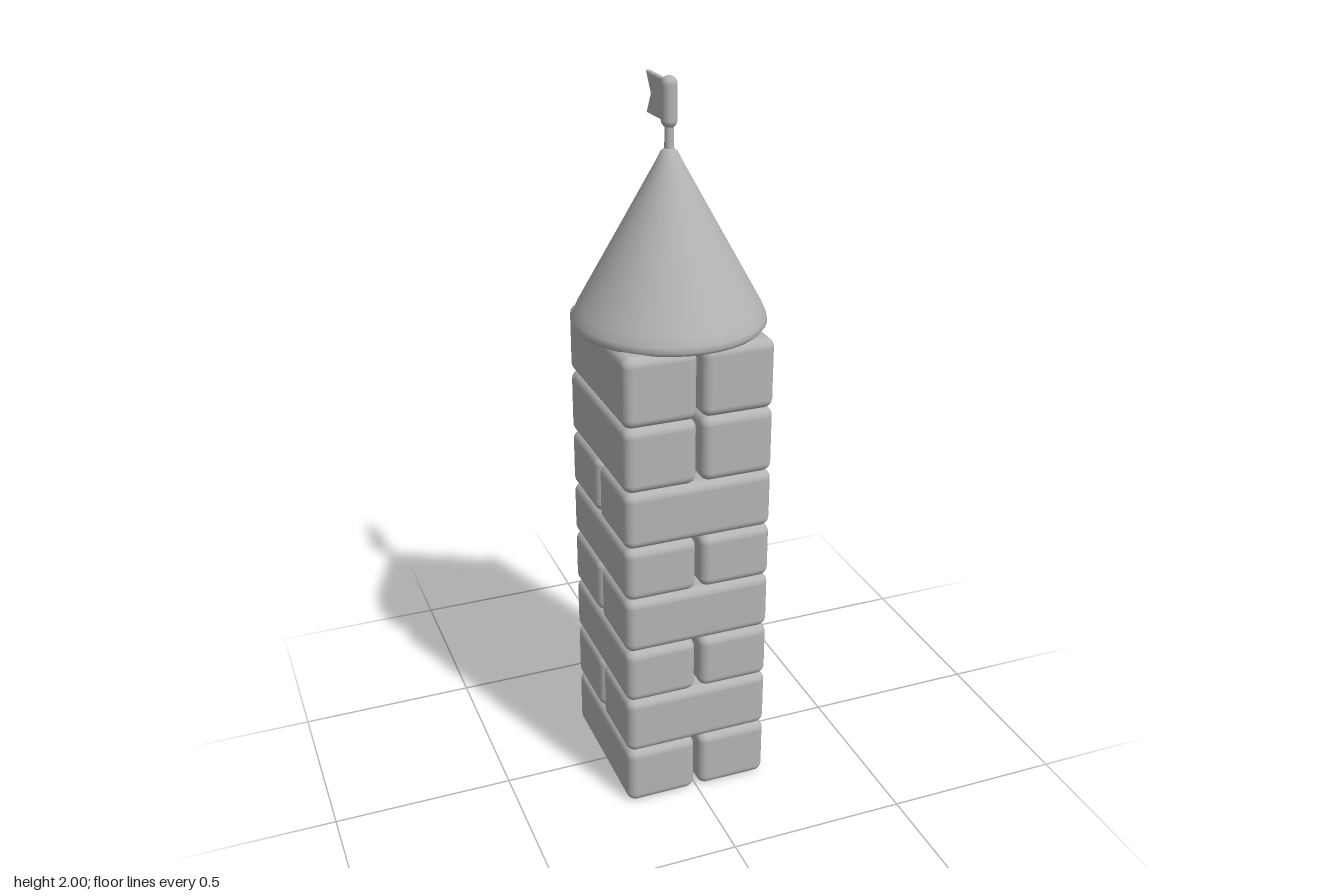
import * as THREE from 'three';
import { RoundedBoxGeometry } from 'three/addons/geometries/RoundedBoxGeometry.js';

export function createModel() {
  const group = new THREE.Group();
  group.name = 'clockTower';
  const stone = new THREE.MeshStandardMaterial({ color: 0xb4b4b4 });
  stone.name = 'grey stone';

  function add(parent, name, geometry, x = 0, y = 0, z = 0) {
    const mesh = new THREE.Mesh(geometry, stone);
    mesh.name = name;
    mesh.position.set(x, y, z);
    parent.add(mesh);
    return mesh;
  }

  // Brick courses: each is a pair of long bricks, split along x or along z
  const levels = [0.005, 0.177, 0.345, 0.505, 0.667, 0.823, 0.987, 1.17, 1.362];
  const splits = ['x', 'z', 'x', 'z', 'x', 'z', 'x', 'x'];
  const W = 0.416, D = 0.452, gap = 0.012;
  const bricks = new THREE.Group();
  bricks.name = 'brickWalls';
  group.add(bricks);
  splits.forEach((split, i) => {
    const h = levels[i + 1] - levels[i] + 0.002;
    const y = (levels[i + 1] + levels[i]) / 2;
    const w = split === 'x' ? (W - gap) / 2 : W;
    const d = split === 'z' ? (D - gap) / 2 : D;
    for (const s of [-1, 1]) {
      const geometry = new RoundedBoxGeometry(w, h, d, 4, 0.026);
      add(bricks, 'brick', geometry,
        split === 'x' ? s * (w + gap) / 2 : 0, y, split === 'z' ? s * (d + gap) / 2 : 0);
    }
  });

  // Conical roof with a soft rim and a closed underside
  const profile = [
    [0, 1.358], [0.235, 1.356], [0.25, 1.36], [0.257, 1.37], [0.254, 1.384], [0.242, 1.412],
    [0.135, 1.605], [0.033, 1.79], [0.022, 1.812], [0.011, 1.822], [0, 1.824],
  ].map(([r, y]) => new THREE.Vector2(r, y));
  add(group, 'roof', new THREE.LatheGeometry(profile, 40));

  // Flagpole, its thicker sleeve and the swallowtail flag
  add(group, 'flagpole', new THREE.CylinderGeometry(0.011, 0.013, 0.1, 16), 0, 1.845, 0);
  add(group, 'flagSleeve', new THREE.CapsuleGeometry(0.021, 0.088, 6, 20), 0, 1.935, 0);
  const flagShape = new THREE.Shape([
    [0, 1.887], [0.14, 1.882], [0.109, 1.934], [0.143, 1.983], [0, 1.983],
  ].map(([u, v]) => new THREE.Vector2(u, v)));
  const flagGeometry = new THREE.ExtrudeGeometry(flagShape, {
    depth: 0.006, bevelEnabled: true, bevelThickness: 0.004, bevelSize: 0.004, bevelSegments: 2,
  });
  flagGeometry.translate(0, 0, -0.003);
  flagGeometry.rotateY(Math.PI / 2);
  add(group, 'flag', flagGeometry);

  // Clock on the left wall, built facing +z and turned to +x
  const clock = new THREE.Group();
  clock.name = 'clock';
  clock.position.set(0.208, 1.165, -0.003);
  clock.rotation.y = Math.PI / 2;
  group.add(clock);
  add(clock, 'clockRim', new THREE.TorusGeometry(0.143, 0.015, 12, 48), 0, 0, 0.003);

  function hand(name, length, width, angle) {
    const geometry = new THREE.CapsuleGeometry(width / 2, length - width, 4, 12);
    geometry.translate(0, length / 2 - width / 2, 0);
    geometry.scale(1, 1, 0.55);
    add(clock, name, geometry, 0, 0, 0.005).rotation.z = angle;
  }
  hand('minuteHand', 0.125, 0.034, 0);
  hand('hourHand', 0.1, 0.034, -2.05);
  add(clock, 'hub', new THREE.SphereGeometry(0.022, 16, 10), 0, 0, 0.001).scale.z = 0.7;

  // Small hour marks at the quarters
  for (let i = 0; i < 4; i++) {
    const a = i * Math.PI / 2;
    const geometry = new RoundedBoxGeometry(0.012, 0.03, 0.012, 2, 0.004);
    add(clock, 'hourMark', geometry, Math.sin(a) * 0.108, Math.cos(a) * 0.108, 0.002).rotation.z = -a;
  }

  return group;
}
